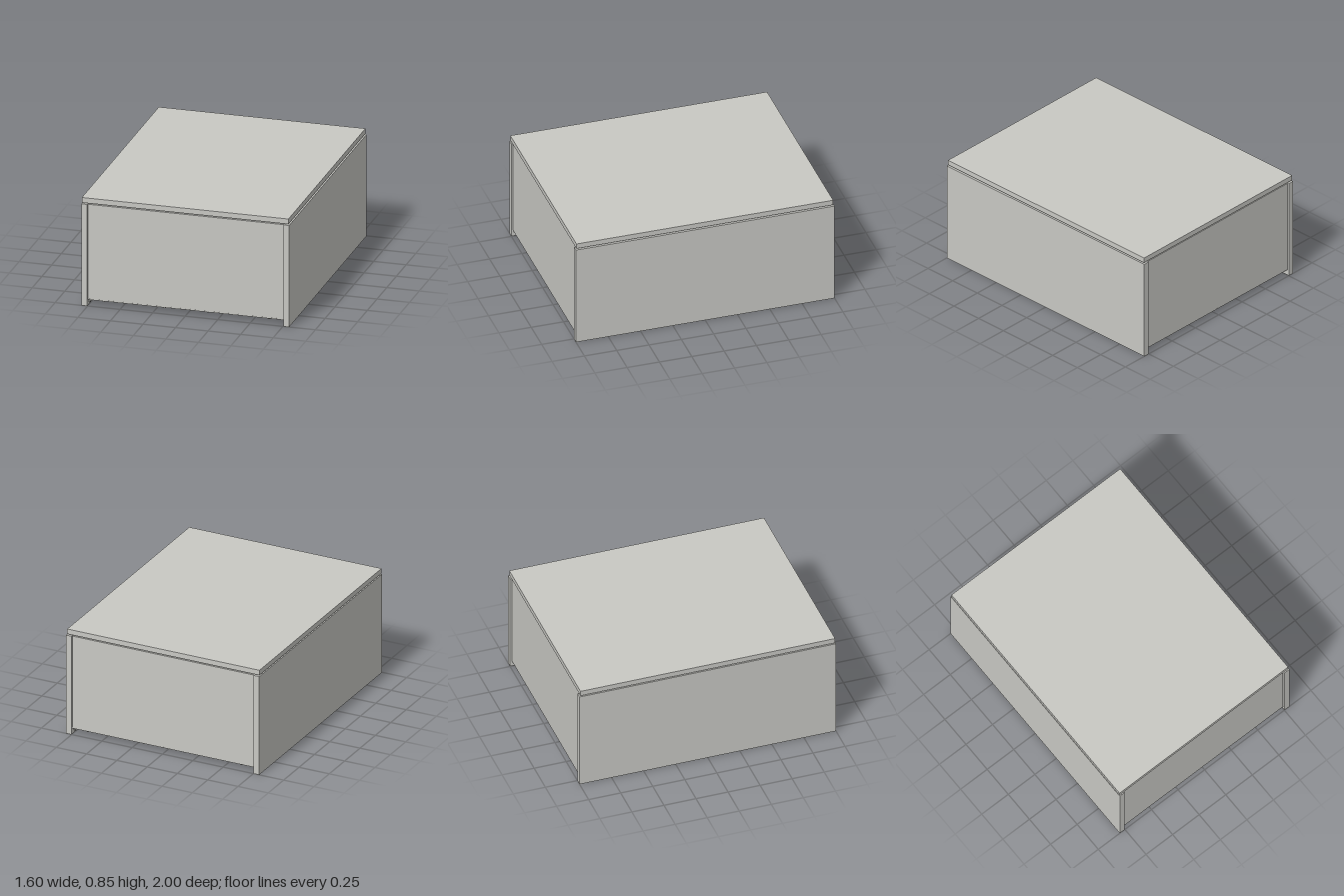
import * as THREE from 'three';

export function createModel() {
  const group = new THREE.Group();
  const grey = new THREE.MeshStandardMaterial({ color: 0xc8c8c3 });
  grey.name = 'pale grey';

  const add = (name, geometry, x, y, z) => {
    const mesh = new THREE.Mesh(geometry, grey);
    mesh.name = name;
    mesh.position.set(x, y, z);
    group.add(mesh);
    return mesh;
  };
  // box given by its lower and upper limits on each axis
  const box = (name, x0, x1, y0, y1, z0, z1) =>
    add(name, new THREE.BoxGeometry(x1 - x0, y1 - y0, z1 - z0),
      (x0 + x1) / 2, (y0 + y1) / 2, (z0 + z1) / 2);

  // lid, floating just above the carcass
  box('lid', -0.796, 0.791, 0.806, 0.846, -0.992, 0.994);

  for (const s of [-1, 1]) {
    const end = s > 0 ? 'front' : 'back';
    const side = s > 0 ? 'left' : 'right';

    // side wall, reaching the ground
    const wall = box(side + 'Wall', -0.0225, 0.0225, 0, 0.798, -1, 1);
    wall.position.x = s * 0.7755;

    // end panel, slightly inset between the walls
    const panel = box(end + 'Panel', -0.75, 0.75, 0.054, 0.795, -0.012, 0.012);
    panel.position.z = s * 0.975;

    // two floor sheets meeting at a centre seam
    const sheet = box(side + 'FloorSheet', -0.377, 0.377, 0.045, 0.053, -0.985, 0.985);
    sheet.position.x = s * 0.379;

    // rear foot
    add(side + 'Foot', new THREE.CylinderGeometry(0.028, 0.028, 0.045, 24), s * 0.685, 0.0225, -0.82);

    // screw heads under the floor ends
    for (const x of [-0.635, -0.167, 0.167, 0.635]) {
      add(end + 'Screw', new THREE.CylinderGeometry(0.013, 0.009, 0.009, 12), x, 0.0405, s * 0.965);
    }
    // pegs along the inside of each wall
    for (const z of [-0.95, -0.47, 0.47, 0.95]) {
      const peg = add(side + 'Peg', new THREE.CylinderGeometry(0.011, 0.011, 0.008, 12), s * 0.749, 0.026, z);
      peg.rotation.z = Math.PI / 2;
    }
    // spacer carrying the lid
    box(end + 'Spacer', -0.74, -0.67, 0.795, 0.806, s * 0.72 - 0.03, s * 0.72 + 0.03);
  }
  return group;
}
